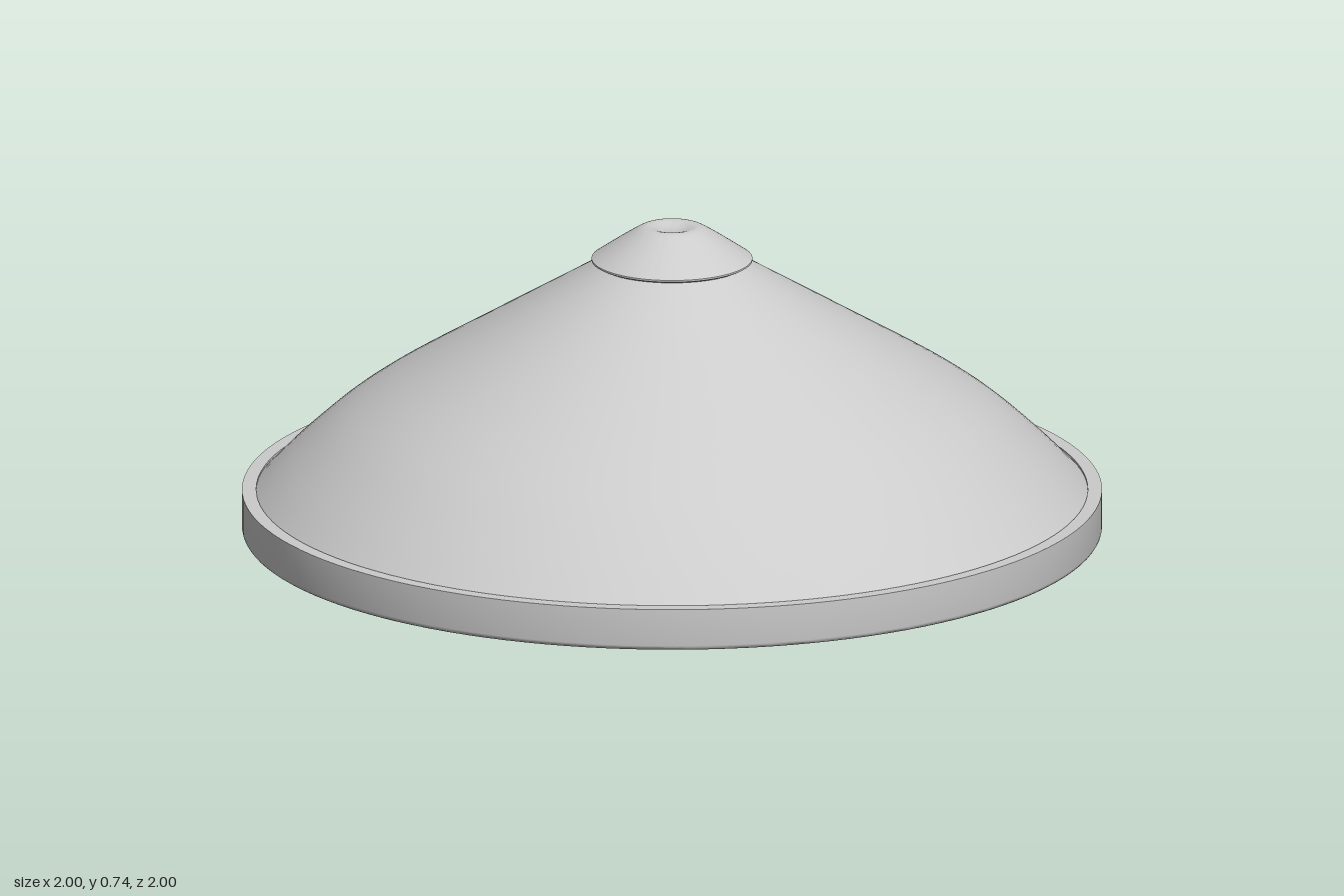
import * as THREE from 'three';
import { toCreasedNormals } from 'three/addons/utils/BufferGeometryUtils.js';

const SEGMENTS = 128;
const material = new THREE.MeshStandardMaterial({ color: 0xcccccc, side: THREE.DoubleSide });

// Revolves a profile of Vector2 (radius, height) about the y axis.
function revolve(name, points, crease) {
  let geometry = new THREE.LatheGeometry(points, SEGMENTS);
  if (crease) geometry = toCreasedNormals(geometry, crease);
  const mesh = new THREE.Mesh(geometry, material);
  mesh.name = name;
  return mesh;
}

const v = (r, y) => new THREE.Vector2(r, y);

// Quarter-round corner between two angles, for the rim's lower edges.
function corner(cx, cy, radius, start, steps = 4) {
  return Array.from({ length: steps + 1 }, (_, i) => {
    const a = start + (i / steps) * Math.PI / 2;
    return v(cx + radius * Math.cos(a), cy + radius * Math.sin(a));
  });
}

export function createModel() {
  const group = new THREE.Group();
  group.name = 'conicalShade';

  // Upright rim band with rounded lower edges
  const inner = 0.967, outer = 1, top = 0.1, round = 0.012;
  group.add(revolve('rim', [
    ...corner(outer - round, round, round, -Math.PI / 2),
    v(outer, top),
    v(inner, top),
    ...corner(inner + round, round, round, Math.PI),
    v(outer - round, 0),
  ], 0.7));

  // Thin shell: a bulging skirt running into a straight cone
  const skirt = new THREE.SplineCurve([
    v(0.967, 0.095), v(0.89, 0.174), v(0.79, 0.264), v(0.7, 0.33),
    v(0.6, 0.393), v(0.45, 0.483), v(0.3, 0.573), v(0.16, 0.657),
  ]);
  group.add(revolve('shell', skirt.getPoints(40)));

  // Overhanging cap with a shallow dip in its top
  const slope = new THREE.SplineCurve([
    v(0.187, 0.66), v(0.13, 0.699), v(0.085, 0.728), v(0.065, 0.737),
    v(0.05, 0.736), v(0.025, 0.728), v(0, 0.725),
  ]).getPoints(24);
  slope[slope.length - 1].x = 0;
  group.add(revolve('cap', [v(0, 0.652), v(0.18, 0.652), v(0.187, 0.656), ...slope], 0.7));

  return group;
}
